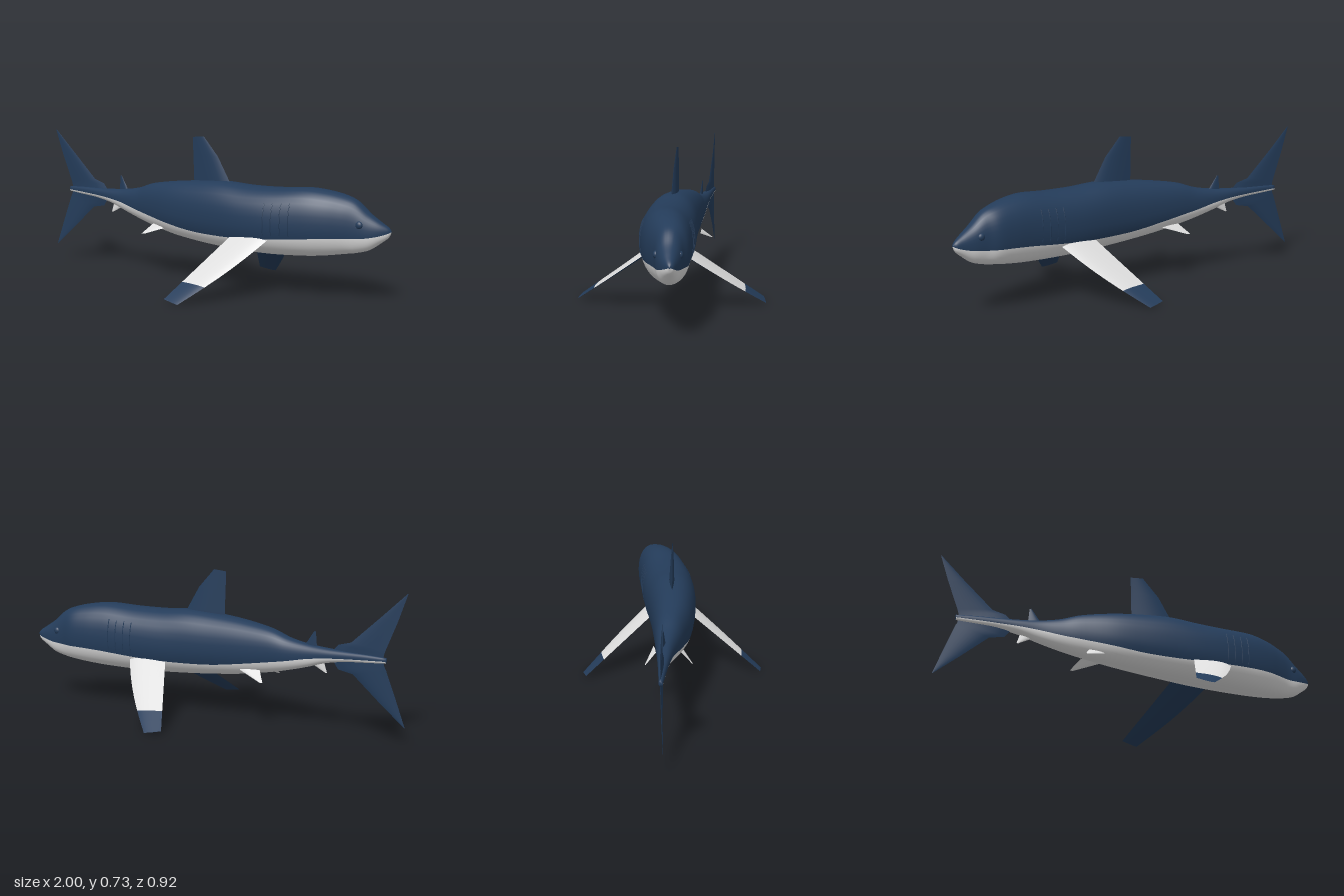
import * as THREE from 'three';

const navy = new THREE.MeshStandardMaterial({ color: 0x243c5a, side: THREE.DoubleSide });
navy.name = 'navy back';
const white = new THREE.MeshStandardMaterial({ color: 0xdedede, side: THREE.DoubleSide });
white.name = 'white belly';

// Body stations: x, top y, bottom y, z min, z max, height of the colour line
const stations = [
  [-0.90, 0.402, 0.376, -0.134, -0.116, 0.386],
  [-0.80, 0.408, 0.368, -0.130, -0.098, 0.382],
  [-0.70, 0.411, 0.360, -0.126, -0.080, 0.377],
  [-0.60, 0.415, 0.343, -0.123, -0.060, 0.370],
  [-0.50, 0.424, 0.312, -0.120, -0.038, 0.357],
  [-0.40, 0.442, 0.284, -0.119, -0.008, 0.337],
  [-0.30, 0.474, 0.260, -0.118, 0.025, 0.320],
  [-0.15, 0.499, 0.232, -0.118, 0.070, 0.296],
  [0.00, 0.515, 0.214, -0.120, 0.098, 0.276],
  [0.15, 0.524, 0.202, -0.126, 0.116, 0.270],
  [0.30, 0.516, 0.195, -0.134, 0.125, 0.272],
  [0.45, 0.517, 0.194, -0.138, 0.119, 0.281],
  [0.60, 0.526, 0.200, -0.141, 0.093, 0.294],
  [0.70, 0.517, 0.210, -0.145, 0.065, 0.301],
  [0.78, 0.499, 0.222, -0.143, 0.032, 0.304],
  [0.84, 0.474, 0.232, -0.126, 0.006, 0.306],
  [0.90, 0.422, 0.250, -0.117, -0.012, 0.312],
  [0.95, 0.387, 0.284, -0.107, -0.035, 0.322],
  [0.985, 0.363, 0.312, -0.098, -0.060, 0.333],
  [1.00, 0.346, 0.338, -0.084, -0.078, 0.341],
];
const curveOf = (cols) => new THREE.CatmullRomCurve3(
  stations.map((s) => new THREE.Vector3(...cols.map((c) => s[c]))), false, 'catmullrom', 0.5);
const sideCurve = curveOf([0, 1, 2]);
const planCurve = curveOf([3, 4, 5]);
const power = 2.25;

// Cross-section of the body at curve parameter t
function section(t) {
  const a = sideCurve.getPoint(t), b = planCurve.getPoint(t);
  const cy = (a.y + a.z) / 2, ry = Math.max((a.y - a.z) / 2, 0.002);
  const cz = (b.x + b.y) / 2, rz = Math.max((b.y - b.x) / 2, 0.002);
  const bend = (v) => Math.sign(v) * Math.abs(v) ** (2 / power);
  const s = THREE.MathUtils.clamp((b.z - cy) / ry, -0.95, 0.95);
  return {
    line: Math.asin(Math.sign(s) * Math.abs(s) ** (power / 2)),
    at: (ang, out = 0) => new THREE.Vector3(
      a.x, cy + (ry + out) * bend(Math.sin(ang)), cz + (rz + out) * bend(Math.cos(ang))),
  };
}

// Body loft: shared vertices keep it smooth, groups give back and belly colours
function bodyGeometry() {
  const rings = 110, half = 20, n = half * 2;
  const pos = [], back = [], belly = [];
  for (let i = 0; i <= rings; i++) {
    const s = section(i / rings);
    for (let j = 0; j < n; j++) {
      const ang = j < half
        ? s.line + (Math.PI - 2 * s.line) * (j / half)
        : Math.PI - s.line + (Math.PI + 2 * s.line) * ((j - half) / half);
      pos.push(...s.at(ang).toArray());
    }
  }
  for (let i = 0; i < rings; i++) {
    for (let j = 0; j < n; j++) {
      const a = i * n + j, b = i * n + (j + 1) % n;
      (j < half ? back : belly).push(a, a + n, b, b, a + n, b + n);
    }
  }
  // End caps
  for (let j = 1; j < n - 1; j++) {
    const e = rings * n;
    back.push(0, j, j + 1, e, e + j + 1, e + j);
  }
  const g = new THREE.BufferGeometry();
  g.setAttribute('position', new THREE.Float32BufferAttribute(pos, 3));
  g.setIndex([...back, ...belly]);
  g.addGroup(0, back.length, 0);
  g.addGroup(back.length, belly.length, 1);
  g.computeVertexNormals();
  return g;
}

// One face of a fin; rows run root to tip as [lead, trail, thickness]
function finSheet(rows, side, material) {
  const cols = 8, pos = [], idx = [];
  const P = rows.map(([l, t, w]) => ({ l: new THREE.Vector3(...l), t: new THREE.Vector3(...t), w }));
  const span = P.at(-1).l.clone().add(P.at(-1).t).sub(P[0].l).sub(P[0].t);
  const normal = P[0].t.clone().sub(P[0].l).cross(span).normalize();
  for (const { l, t, w } of P) {
    for (let j = 0; j <= cols; j++) {
      const u = j / cols;
      const bulge = Math.sin(Math.PI * u ** 0.7) * w / 2 * side;
      pos.push(...l.clone().lerp(t, u).addScaledVector(normal, bulge).toArray());
    }
  }
  for (let i = 0; i < P.length - 1; i++) {
    for (let j = 0; j < cols; j++) {
      const a = i * (cols + 1) + j, b = a + 1, c = a + cols + 1, d = c + 1;
      if (side > 0) idx.push(a, b, c, b, d, c);
      else idx.push(a, c, b, b, c, d);
    }
  }
  const g = new THREE.BufferGeometry();
  g.setAttribute('position', new THREE.Float32BufferAttribute(pos, 3));
  g.setIndex(idx);
  g.computeVertexNormals();
  return new THREE.Mesh(g, material);
}

function fin(name, rows, material) {
  const group = new THREE.Group();
  group.name = name;
  for (const side of [1, -1]) {
    const m = finSheet(rows, side, material);
    m.name = name + (side > 0 ? 'FaceA' : 'FaceB');
    group.add(m);
  }
  return group;
}

export function createModel() {
  const model = new THREE.Group();
  model.name = 'shark';
  const body = new THREE.Mesh(bodyGeometry(), [navy, white]);
  body.name = 'body';
  model.add(body);

  // Fins on the centre line
  model.add(fin('dorsalFin', [
    [[0.20, 0.49, -0.004], [-0.035, 0.49, -0.016], 0.028],
    [[0.175, 0.525, -0.004], [-0.036, 0.525, -0.016], 0.025],
    [[0.108, 0.64, -0.006], [-0.039, 0.63, -0.014], 0.015],
    [[0.025, 0.733, -0.010], [-0.042, 0.727, -0.013], 0.004],
  ], navy));
  model.add(fin('secondDorsalFin', [
    [[-0.48, 0.41, -0.08], [-0.55, 0.41, -0.092], 0.012],
    [[-0.535, 0.49, -0.09], [-0.543, 0.488, -0.092], 0.002],
  ], navy));
  model.add(fin('analFin', [
    [[-0.51, 0.335, -0.08], [-0.585, 0.35, -0.092], 0.010],
    [[-0.593, 0.294, -0.092], [-0.602, 0.294, -0.092], 0.002],
  ], white));
  model.add(fin('upperTailLobe', [
    [[-0.62, 0.395, -0.094], [-0.885, 0.395, -0.125], 0.016],
    [[-0.66, 0.438, -0.102], [-0.89, 0.42, -0.125], 0.012],
    [[-0.725, 0.456, -0.110], [-0.895, 0.435, -0.125], 0.012],
    [[-0.87, 0.59, -0.119], [-0.95, 0.575, -0.123], 0.006],
    [[-0.992, 0.706, -0.122], [-0.994, 0.704, -0.122], 0.001],
  ], navy));
  model.add(fin('lowerTailLobe', [
    [[-0.62, 0.375, -0.094], [-0.885, 0.395, -0.125], 0.016],
    [[-0.66, 0.320, -0.102], [-0.89, 0.365, -0.125], 0.012],
    [[-0.735, 0.306, -0.110], [-0.90, 0.345, -0.125], 0.012],
    [[-0.87, 0.187, -0.119], [-0.948, 0.215, -0.123], 0.006],
    [[-0.994, 0.080, -0.122], [-0.996, 0.081, -0.122], 0.001],
  ], navy));

  // Paired fins and eyes
  for (const k of [1, -1]) {
    const label = k > 0 ? 'front' : 'rear';
    const row = (t) => [
      [0.46 - 0.28 * t + 0.02 * Math.sin(Math.PI * t), 0.288 - 0.286 * t, k * (0.09 + 0.37 * t)],
      [0.255 - 0.16 * t, 0.288 - 0.272 * t, k * (0.09 + 0.355 * t)],
      0.024 - 0.020 * t,
    ];
    const rows = [0, 0.15, 0.3, 0.45, 0.6, 0.74, 0.87, 1].map(row);
    const pectoral = new THREE.Group();
    pectoral.name = label + 'PectoralFin';
    const parts = [
      ['top', rows, -k, navy],
      ['underside', rows.slice(0, 6), k, white],
      ['undersideTip', rows.slice(5), k, navy],
    ];
    for (const [name, r, side, mat] of parts) {
      const m = finSheet(r, side, mat);
      m.name = name;
      pectoral.add(m);
    }
    model.add(pectoral);

    model.add(fin(label + 'PelvicFin', [
      [[-0.16, 0.272, -0.05 + k * 0.065], [-0.265, 0.278, -0.05 + k * 0.06], 0.010],
      [[-0.285, 0.230, -0.05 + k * 0.112], [-0.302, 0.230, -0.05 + k * 0.112], 0.002],
    ], white));

    const eye = new THREE.Mesh(new THREE.SphereGeometry(0.018, 20, 14), navy);
    eye.name = label + 'Eye';
    eye.scale.z = 0.7;
    eye.position.set(0.87, 0.372, -0.061 + k * 0.053);
    model.add(eye);

    // Gill slits as fine ridges following the flank
    for (let i = 0; i < 4; i++) {
      const s = section((11 - 0.12 + i * 0.27) / (stations.length - 1));
      const pts = [];
      for (let j = 0; j <= 8; j++) {
        const ang = -0.3 + 0.9 * j / 8;
        pts.push(s.at(k > 0 ? ang : Math.PI - ang, -0.0005));
      }
      const gill = new THREE.Mesh(
        new THREE.TubeGeometry(new THREE.CatmullRomCurve3(pts), 16, 0.0025, 5), navy);
      gill.name = label + 'GillSlit' + (i + 1);
      model.add(gill);
    }
  }
  return model;
}
